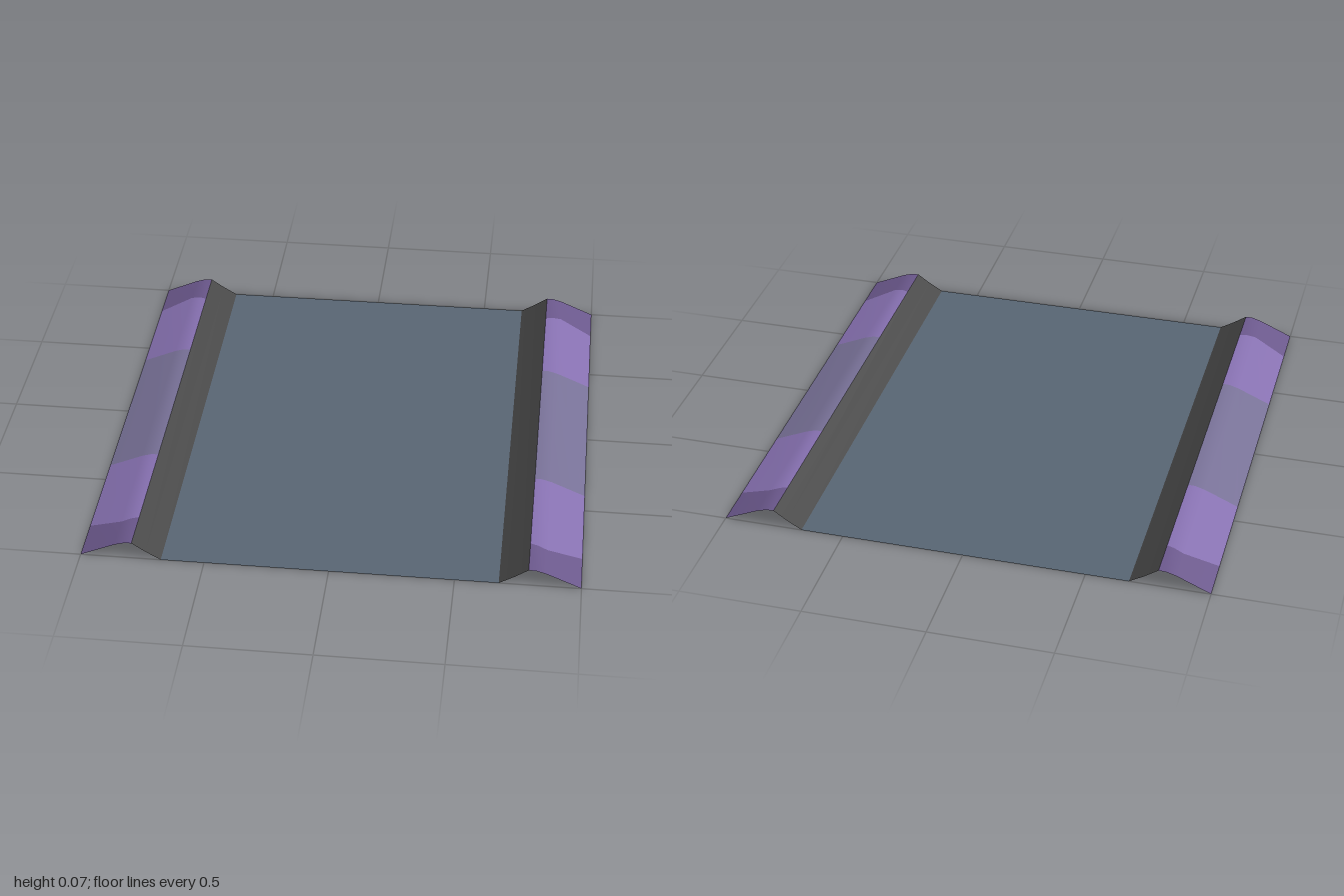
import * as THREE from 'three';

const material = (name, color) =>
  new THREE.MeshStandardMaterial({ name, color, side: THREE.DoubleSide });

// Sheet swept along z: each profile point is [x, y], zBack/zFront give its ends per point.
function sheet(name, profile, zBack, zFront, mat) {
  const positions = [], index = [];
  profile.forEach(([x, y], i) => positions.push(x, y, zBack[i], x, y, zFront[i]));
  for (let i = 0; i < profile.length - 1; i++) {
    const a = 2 * i;
    index.push(a, a + 1, a + 3, a, a + 3, a + 2);
  }
  const geometry = new THREE.BufferGeometry();
  geometry.setAttribute('position', new THREE.Float32BufferAttribute(positions, 3));
  geometry.setIndex(index);
  geometry.computeVertexNormals();
  const mesh = new THREE.Mesh(geometry, mat);
  mesh.name = name;
  return mesh;
}

export function createModel() {
  const group = new THREE.Group();
  group.name = 'floorPanel';
  const slate = material('slate floor', 0x586573);
  const charcoal = material('charcoal slope', 0x464646);
  const violet = material('violet', 0x8670b0);
  const greyViolet = material('grey violet', 0x777096);
  const darkViolet = material('dark violet', 0x6a578b);

  // Flat floor
  group.add(sheet('floor', [[-0.675, 0], [0.675, 0]], [-1, -1], [1, 1], slate));

  // Half sections of the raised edge
  const slope = [[0.675, 0], [0.735, 0.036], [0.79, 0.074]];
  const kerb = [[0.79, 0.074], [0.82, 0.073], [0.86, 0.061], [1, 0]];

  // Colour boundaries along the kerb, one z per profile point
  const cuts = [
    [-1, -1, -1, -1],
    [-0.83, -0.84, -0.85, -0.815],
    [-0.4, -0.4, -0.4, -0.4],
    [0.4, 0.4, 0.4, 0.4],
    [0.83, 0.84, 0.85, 0.815],
    [1, 1, 1, 1],
  ];
  const colours = [darkViolet, violet, greyViolet, violet, darkViolet];
  const names = ['BackEnd', 'BackBand', 'Middle', 'FrontBand', 'FrontEnd'];

  for (const [side, s] of [['left', 1], ['right', -1]]) {
    // Mirror the profile, keeping x increasing so faces point up
    const place = (p) => {
      const q = p.map(([x, y]) => [s * x, y]);
      return s > 0 ? q : q.reverse();
    };
    const ends = (z) => (s > 0 ? z : [...z].reverse());

    group.add(sheet(side + 'InnerSlope', place(slope), [-1, -1, -1], [1, 1, 1], charcoal));
    colours.forEach((mat, i) =>
      group.add(sheet(side + 'Kerb' + names[i], place(kerb), ends(cuts[i]), ends(cuts[i + 1]), mat)));
  }
  return group;
}
